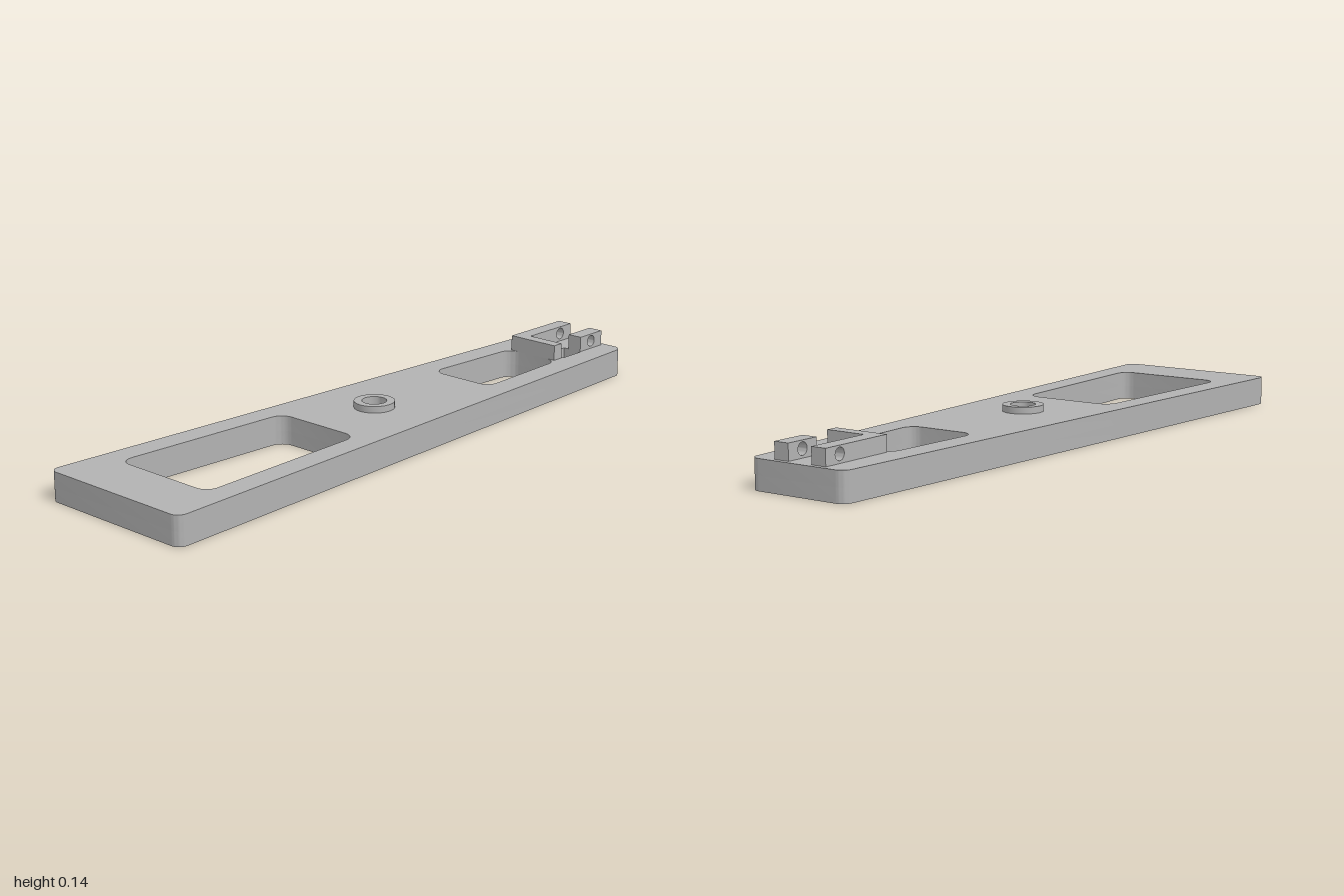
import * as THREE from 'three';
import { toCreasedNormals } from 'three/addons/utils/BufferGeometryUtils.js';

// Symmetric trapezoid in plan (x, z) with rounded corners
function trapezoid(PathType, zBack, halfBack, zFront, halfFront, r) {
  const c = [[-halfBack, zBack], [halfBack, zBack], [halfFront, zFront], [-halfFront, zFront]]
    .map(p => new THREE.Vector2(...p));
  const path = new PathType();
  c.forEach((p, i) => {
    const prev = c[(i + 3) % 4], next = c[(i + 1) % 4];
    const a = p.clone().add(prev.clone().sub(p).setLength(r));
    const b = p.clone().add(next.clone().sub(p).setLength(r));
    // cubic handles give a near-circular corner
    const ha = a.clone().lerp(p, 0.55), hb = b.clone().lerp(p, 0.55);
    if (i === 0) path.moveTo(a.x, a.y);
    else path.lineTo(a.x, a.y);
    path.bezierCurveTo(ha.x, ha.y, hb.x, hb.y, b.x, b.y);
  });
  path.closePath();
  return path;
}

const circle = (PathType, x, y, r) => new PathType().absarc(x, y, r, 0, Math.PI * 2, false);
const polygon = (PathType, pts) => new PathType(pts.map(p => new THREE.Vector2(...p)));

function extrude(shape, depth) {
  return new THREE.ExtrudeGeometry(shape, { depth, bevelEnabled: false, curveSegments: 12 });
}

// Plan shape (x, z) raised from y0 to y1
function slab(shape, y0, y1) {
  const g = extrude(shape, y1 - y0).rotateX(Math.PI / 2).translate(0, y1, 0);
  return toCreasedNormals(g, 0.6);
}

export function createModel() {
  const group = new THREE.Group();
  const grey = new THREE.MeshStandardMaterial({ color: 0xb2b2b2 });
  grey.name = 'grey';
  const add = (name, geometry) => {
    const mesh = new THREE.Mesh(geometry, grey);
    mesh.name = name;
    group.add(mesh);
  };

  const TOP = 0.087, GROOVE = 0.042, CLIP = 0.135, BORE = 0.037;

  // Tapered plate with two windows and a centre bore
  const plate = () => {
    const s = trapezoid(THREE.Shape, -1, 0.16, 1, 0.26, 0.03);
    s.holes.push(
      trapezoid(THREE.Path, -0.74, 0.095, -0.39, 0.112, 0.04),
      trapezoid(THREE.Path, 0.235, 0.148, 0.825, 0.175, 0.04),
      circle(THREE.Path, 0, 0, BORE));
    return s;
  };

  // Lower layer, cut by the cable groove and the pocket below the clip
  const lower = plate();
  lower.holes.push(polygon(THREE.Path, [
    [-0.237, 0.95], [-0.11, 0.95], [-0.11, 0.9], [-0.192, 0.9],
    [-0.115, -0.77], [0.09, -0.77], [0.09, -0.88], [-0.15, -0.88]]));
  add('lowerPlate', slab(lower, 0, GROOVE));

  // Upper layer, with the square cable hole
  const upper = plate();
  upper.holes.push(polygon(THREE.Path, [
    [0.022, -0.875], [0.09, -0.875], [0.09, -0.785], [0.022, -0.785]]));
  add('upperPlate', slab(upper, GROOVE, TOP));

  // Raised ring around the bore
  const ring = circle(THREE.Shape, 0, 0, 0.061);
  ring.holes.push(circle(THREE.Path, 0, 0, BORE));
  add('centreRing', slab(ring, TOP, 0.107));

  // Clip arms, each drilled for a pin
  const arm = (name, xRight, zFront) => {
    const s = polygon(THREE.Shape, [[-0.985, TOP], [zFront, TOP], [zFront, CLIP], [-0.985, CLIP]]);
    s.holes.push(circle(THREE.Path, -0.93, 0.112, 0.018));
    const g = extrude(s, 0.048).rotateY(-Math.PI / 2).translate(xRight, 0, 0);
    add(name, toCreasedNormals(g, 0.6));
  };
  arm('longClipArm', -0.039, -0.74);
  arm('shortClipArm', 0.087, -0.875);

  // Bar closing the clip at the window edge
  add('clipBar', new THREE.BoxGeometry(0.126, CLIP - TOP, 0.037)
    .translate(0.024, (CLIP + TOP) / 2, -0.7585));

  return group;
}
